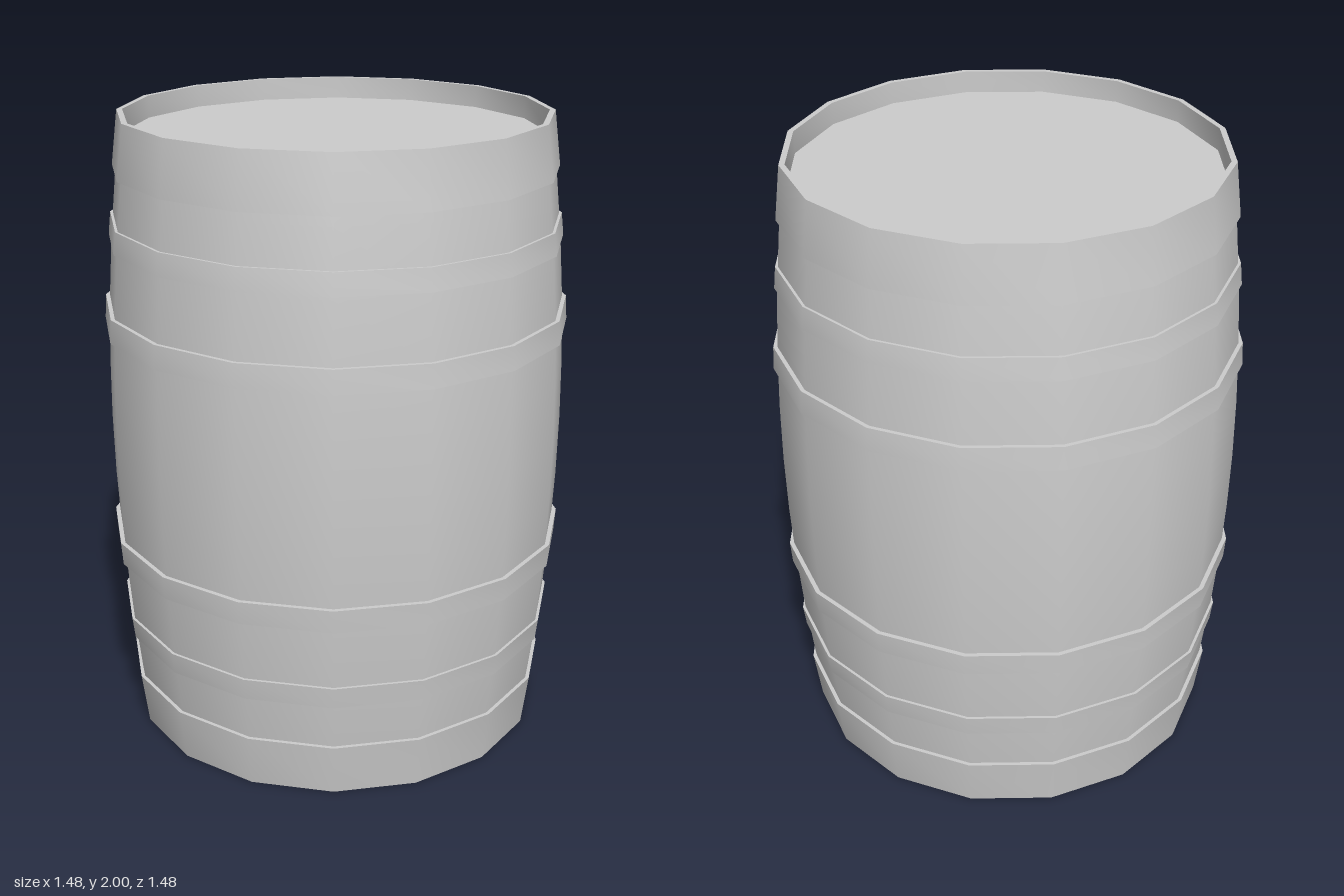
import * as THREE from 'three';
import { toCreasedNormals } from 'three/addons/utils/BufferGeometryUtils.js';

const SIDES = 16;
const material = new THREE.MeshStandardMaterial({ color: 0xcccccc });

// Bulging radius of the staves at height y
const staveRadius = (y) => 0.735 - 0.075 * (y - 1) ** 2;

// Revolve a [radius, y] profile, keeping its corners sharp
function turned(name, profile) {
  const points = profile.map(([r, y]) => new THREE.Vector2(r, y));
  const geometry = toCreasedNormals(new THREE.LatheGeometry(points, SIDES), 0.6);
  const mesh = new THREE.Mesh(geometry, material);
  mesh.name = name;
  return mesh;
}

// Flip a profile about mid-height, reversed so it still faces outward
const mirrored = (profile) => profile.map(([r, y]) => [r, 2 - y]).reverse();

export function createModel() {
  const barrel = new THREE.Group();
  barrel.name = 'barrel';

  // Staves: curved outer wall with a short inner lip at each end
  const wall = [[0.655, 0.07], [0.655, 0]];
  for (let i = 0; i <= 10; i++) wall.push([staveRadius(i / 5), i / 5]);
  wall.push([0.655, 2], [0.655, 1.93]);
  barrel.add(turned('staves', wall));

  // Recessed heads
  const head = [[0.655, 1.93], [0, 1.93]];
  barrel.add(turned('topHead', head), turned('bottomHead', mirrored(head)));

  // Hoops: lower y, upper y, lower radius, upper radius
  const hoops = [
    ['endHoop', 1.83, 2, 0.695, 0.673],
    ['quarterHoop', 1.61, 1.68, 0.716, 0.708],
    ['bilgeHoop', 1.335, 1.41, 0.74, 0.735],
  ];
  for (const [name, y0, y1, r0, r1] of hoops) {
    const profile = [
      [staveRadius(y0) - 0.005, y0], [r0, y0],
      [r1, y1], [staveRadius(y1) - 0.005, y1],
    ];
    barrel.add(turned(name + 'Top', profile), turned(name + 'Bottom', mirrored(profile)));
  }
  return barrel;
}
